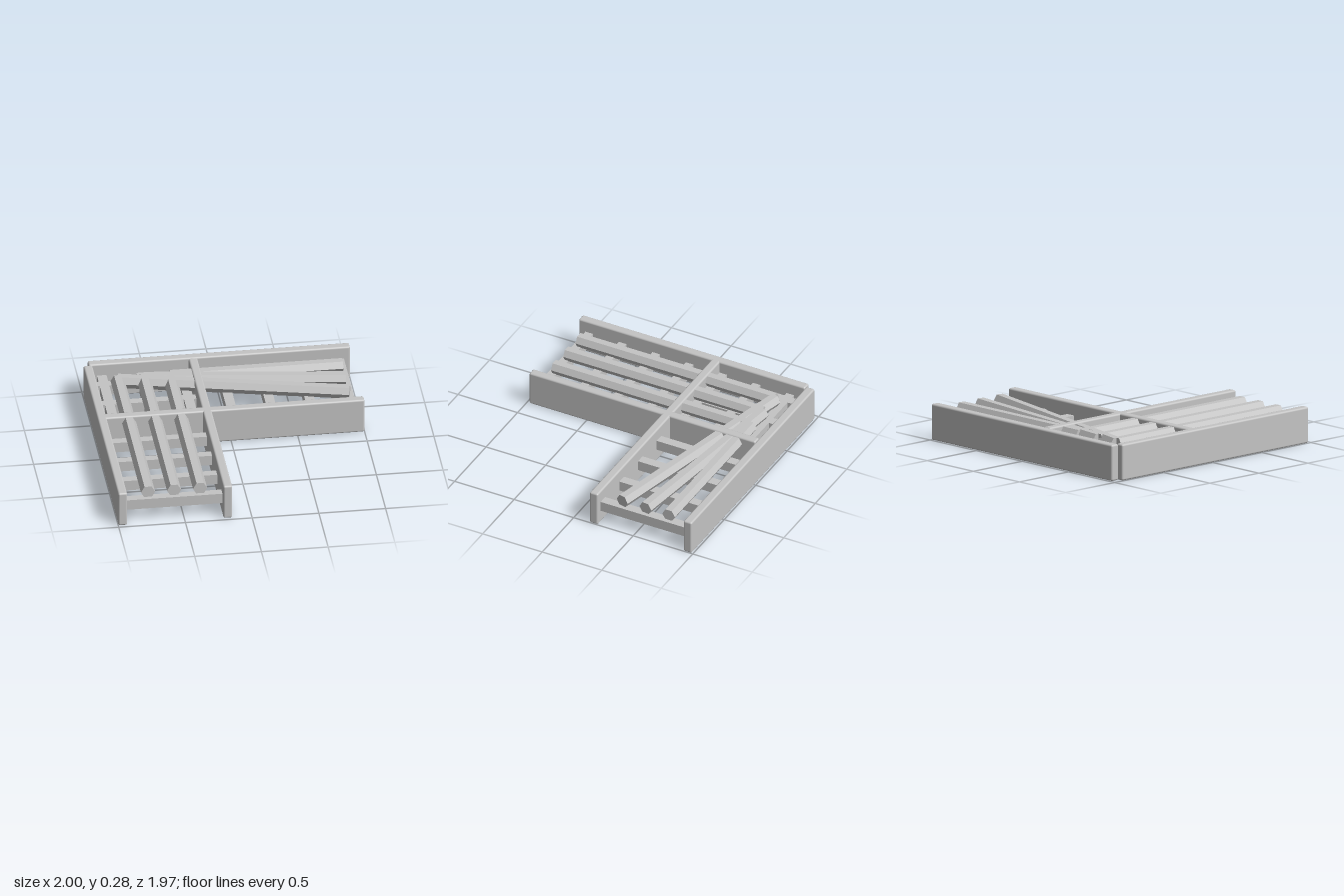
import * as THREE from 'three';
import { RoundedBoxGeometry } from 'three/addons/geometries/RoundedBoxGeometry.js';

export function createModel() {
  const model = new THREE.Group();
  const grey = new THREE.MeshStandardMaterial({ color: 0xc4c4c4 });
  grey.name = 'plain grey';

  function add(geometry, name, x, y, z) {
    const mesh = new THREE.Mesh(geometry, grey);
    mesh.name = name;
    mesh.position.set(x, y, z);
    model.add(mesh);
    return mesh;
  }

  // Box given by its extents, with optional softened edges
  function block(name, x0, x1, y0, y1, z0, z1, radius = 0) {
    const size = [x1 - x0, y1 - y0, z1 - z0];
    const geometry = radius
      ? new RoundedBoxGeometry(...size, 2, radius)
      : new THREE.BoxGeometry(...size);
    add(geometry, name, (x0 + x1) / 2, (y0 + y1) / 2, (z0 + z1) / 2);
  }

  // Flat-topped hexagonal roller between two points in plan
  function roller(name, xa, za, xb, zb) {
    const length = Math.hypot(xb - xa, zb - za);
    let geometry = new THREE.CylinderGeometry(0.053, 0.053, length, 6);
    geometry.rotateY(Math.PI / 2);
    geometry.rotateX(Math.PI / 2);
    geometry = geometry.toNonIndexed();
    geometry.computeVertexNormals();
    const mesh = add(geometry, name, (xa + xb) / 2, 0.22, (za + zb) / 2);
    mesh.rotation.y = Math.atan2(xb - xa, zb - za);
  }

  // Side rails of the two crossing tracks
  block('leftTrackOuterRail', -1, -0.932, 0, 0.275, -0.92, 0.98, 0.014);
  block('leftTrackInnerRail', -0.212, -0.145, 0, 0.275, -0.92, 0.98, 0.014);
  block('backRail', -0.96, 1, 0, 0.275, -0.99, -0.92, 0.014);
  block('innerCrossRail', -0.96, 1, 0, 0.275, -0.202, -0.133, 0.014);

  // Evenly spaced cross bars under both tracks
  for (let i = 0; i < 7; i++) {
    const z = -0.798 + i * 0.2815;
    block('frontTrackSlat', -0.96, -0.18, 0.1, 0.18, z - 0.032, z + 0.032);
    const x = -0.862 + i * 0.2965;
    block('sideTrackSlat', x - 0.036, x + 0.036, 0.1, 0.18, -0.95, -0.17);
  }

  // Parallel rollers towards the front, and a fan of rollers to the side
  const endZ = [-0.365, -0.56, -0.755];
  [-0.765, -0.57, -0.375].forEach((x, i) => {
    roller('frontTrackRoller', x, -0.76, x, 0.89);
    roller('sideTrackRoller', x, -0.757, 0.92, endZ[i]);
  });

  return model;
}
